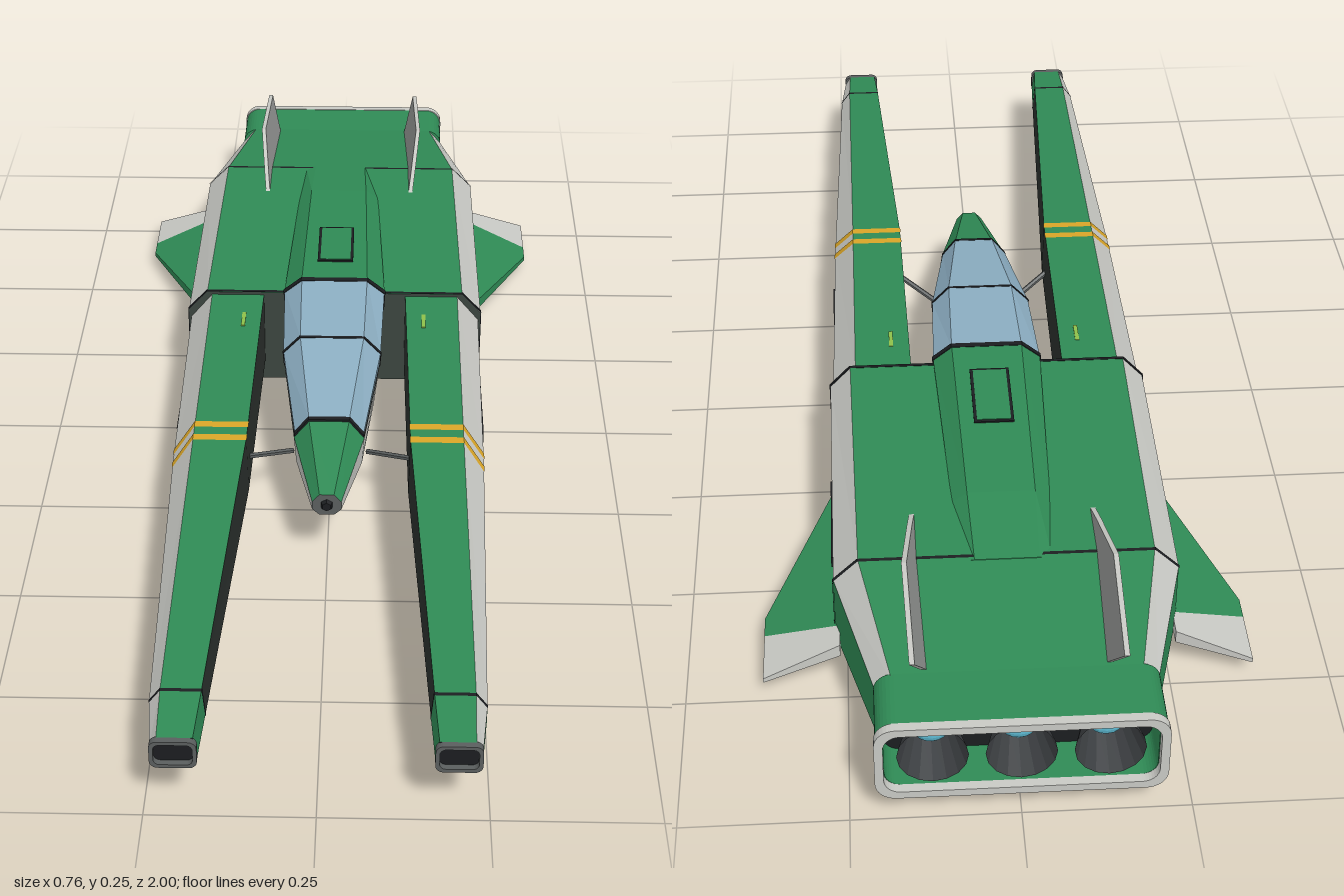
import * as THREE from 'three';

const GREEN = 0x2f8a55, WHITE = 0xc8c9c4, DARK = 0x1b1d20, INNER = 0x2b302d, GREY = 0x5a5e5e,
  GLASS = 0x8caec2, YELLOW = 0xd9a528, TEAL = 0x2f6475, CYAN = 0x62c3dc;

const mat = (color) => new THREE.MeshStandardMaterial({ color, flatShading: true });

// Skin between rings of [x,y,z] corners; colour(column, row) may return null to leave a gap.
// Rings run counter-clockwise seen from the first ring's outer side; s = -1 mirrors in x.
function loft(name, rings, colour, capA = null, capB = null, s = 1) {
  const group = new THREE.Group(), byColour = new Map();
  group.name = name;
  const tri = (c, a, b, d) => {
    if (!byColour.has(c)) byColour.set(c, []);
    for (const p of s > 0 ? [a, b, d] : [a, d, b]) byColour.get(c).push(p[0] * s, p[1], p[2]);
  };
  const n = rings[0].length;
  for (let j = 0; j < rings.length - 1; j++) for (let i = 0; i < n; i++) {
    const c = colour(i, j), k = (i + 1) % n, A = rings[j], B = rings[j + 1];
    if (c === null) continue;
    tri(c, A[i], B[i], B[k]);
    tri(c, A[i], B[k], A[k]);
  }
  const A = rings[0], B = rings[rings.length - 1];
  for (let i = 1; i < n - 1; i++) {
    if (capA !== null) tri(capA, A[0], A[i], A[i + 1]);
    if (capB !== null) tri(capB, B[0], B[i + 1], B[i]);
  }
  for (const [c, pos] of byColour) {
    const g = new THREE.BufferGeometry();
    g.setAttribute('position', new THREE.Float32BufferAttribute(pos, 3));
    g.computeVertexNormals();
    const m = new THREE.Mesh(g, mat(c));
    m.name = name + 'Surface';
    group.add(m);
  }
  return group;
}

const ring = (z, pts) => pts.map(([x, y]) => [x, y, z]);
// Symmetric ring from its +x half, listed bottom to top
const symRing = (z, half) => ring(z, [...half, ...half.map(([x, y]) => [-x, y]).reverse()]);

// Corner i of a ring list at any z (rings ordered from +z to -z)
function cornerAt(rings, i, z) {
  let j = 0;
  while (j < rings.length - 2 && z < rings[j + 1][i][2]) j++;
  const a = rings[j][i], b = rings[j + 1][i], t = (z - a[2]) / (b[2] - a[2]);
  return [a[0] + (b[0] - a[0]) * t, a[1] + (b[1] - a[1]) * t, z];
}
// Cross-section at z, swollen a little about its centre; shift moves single corners along z
function section(rings, z, swell = 1, shift = []) {
  const r = rings[0].map((_, i) => cornerAt(rings, i, z + (shift[i] || 0)));
  const cx = r.reduce((t, p) => t + p[0], 0) / r.length, cy = r.reduce((t, p) => t + p[1], 0) / r.length;
  return r.map(([x, y, zz]) => [cx + (x - cx) * swell, cy + (y - cy) * swell, zz]);
}
const band = (name, rings, z, w, color, swell) =>
  loft(name, [section(rings, z + w / 2, swell), section(rings, z - w / 2, swell)], () => color, color, color);

function box(name, w, h, d, color, x, y, z, rx = 0) {
  const m = new THREE.Mesh(new THREE.BoxGeometry(w, h, d), mat(color));
  m.name = name;
  m.position.set(x, y, z);
  m.rotation.x = rx;
  return m;
}

function roundRect(path, w, h, r) {
  path.absarc(w / 2 - r, h / 2 - r, r, 0, Math.PI / 2);
  path.absarc(-w / 2 + r, h / 2 - r, r, Math.PI / 2, Math.PI);
  path.absarc(-w / 2 + r, -h / 2 + r, r, Math.PI, Math.PI * 1.5);
  path.absarc(w / 2 - r, -h / 2 + r, r, Math.PI * 1.5, Math.PI * 2);
  path.closePath();
  return path;
}
// Hollow rounded frame running along z from z to z + d
function frame(name, w, h, r, rim, d, color, x, y, z) {
  const shape = roundRect(new THREE.Shape(), w, h, r);
  shape.holes.push(roundRect(new THREE.Path(), w - 2 * rim, h - 2 * rim, r - rim / 2));
  const m = new THREE.Mesh(new THREE.ExtrudeGeometry(shape, { depth: d, bevelEnabled: false, curveSegments: 4 }), mat(color));
  m.name = name;
  m.position.set(x, y, z);
  return m;
}

// Underside pad with a teal panel
function pad(x, y, z, w, d, rx) {
  const g = new THREE.Group();
  g.name = 'bellyPad';
  g.add(box('padBase', w, 0.014, d, DARK, 0, 0, 0));
  for (const k of [-1, 0, 1]) g.add(box('padPanel', w * 0.24, 0.004, d * 0.75, TEAL, k * w * 0.28, -0.0065, 0));
  g.position.set(x, y, z);
  g.rotation.x = rx;
  return g;
}

const BOOM = [
  ring(0.99, [[0.176, 0.09], [0.228, 0.09], [0.236, 0.098], [0.236, 0.122], [0.226, 0.138], [0.174, 0.138], [0.169, 0.1]]),
  ring(0.9, [[0.172, 0.084], [0.234, 0.084], [0.245, 0.097], [0.245, 0.125], [0.228, 0.148], [0.168, 0.148], [0.164, 0.1]]),
  ring(0.3, [[0.15, 0.048], [0.238, 0.048], [0.261, 0.068], [0.261, 0.137], [0.226, 0.181], [0.137, 0.181], [0.135, 0.075]]),
  ring(-0.17, [[0.145, 0.02], [0.235, 0.02], [0.266, 0.048], [0.266, 0.145], [0.226, 0.193], [0.13, 0.193], [0.13, 0.05]]),
];
const HULL = [
  symRing(-0.155, [[0.24, 0.012], [0.27, 0.045], [0.27, 0.16], [0.235, 0.198]]),
  symRing(-0.66, [[0.235, 0.014], [0.267, 0.045], [0.267, 0.16], [0.228, 0.199]]),
  symRing(-0.9, [[0.175, 0.042], [0.205, 0.062], [0.205, 0.148], [0.182, 0.174]]),
];
const POD = [
  symRing(0.41, [[0.012, 0.106], [0.024, 0.117], [0.024, 0.132], [0.012, 0.146]]),
  symRing(0.25, [[0.032, 0.085], [0.056, 0.1], [0.06, 0.152], [0.034, 0.185]]),
  symRing(0.04, [[0.045, 0.063], [0.075, 0.085], [0.085, 0.168], [0.05, 0.19]]),
  symRing(-0.17, [[0.045, 0.062], [0.078, 0.085], [0.09, 0.172], [0.055, 0.19]]),
];
const CANOPY = [
  symRing(0.25, [[0.058, 0.15], [0.058, 0.157], [0.034, 0.188]]),
  symRing(0.04, [[0.084, 0.165], [0.086, 0.19], [0.056, 0.222]]),
  symRing(-0.155, [[0.09, 0.17], [0.092, 0.204], [0.06, 0.23]]),
];
const SPINE = [
  CANOPY[2],
  symRing(-0.53, [[0.078, 0.18], [0.078, 0.198], [0.054, 0.216]]),
  symRing(-0.67, [[0.07, 0.18], [0.07, 0.196], [0.05, 0.199]]),
];

export function createModel() {
  const root = new THREE.Group();
  root.name = 'spacecraft';
  const add = (...parts) => root.add(...parts);

  // Main hull, with seams and a dark belly
  const hullColours = [GREY, GREEN, WHITE, GREEN, WHITE, GREEN, GREY, DARK];
  add(loft('hull', HULL, (i) => hullColours[i], 0x3c453f, GREEN));
  add(band('hullFrontSeam', HULL, -0.159, 0.006, DARK, 1.006));
  add(loft('hullRearSeam', [section(HULL, -0.658, 1.006), section(HULL, -0.664, 1.006)], (i) => (i > 0 && i < 6 ? DARK : null)));

  // Cockpit pod, canopy and spine
  const podColours = [WHITE, WHITE, GREEN, GREEN, GREEN, WHITE, WHITE, INNER];
  add(loft('cockpitPod', POD, (i, j) => (j && podColours[i] === GREEN ? INNER : podColours[i]), GREY, INNER));
  const noseTip = new THREE.Mesh(new THREE.CylinderGeometry(0.008, 0.012, 0.01, 6), mat(DARK));
  noseTip.name = 'noseSensor';
  noseTip.rotation.x = Math.PI / 2;
  noseTip.position.set(0, 0.126, 0.412);
  add(noseTip);
  add(loft('canopy', CANOPY, () => GLASS, DARK, DARK));
  for (const [z, w] of [[0.248, 0.008], [0.04, 0.006], [-0.15, 0.012]]) add(band('canopyFrame', CANOPY, z, w, DARK, 1.02));
  add(loft('spine', SPINE, () => GREEN, DARK, GREEN));
  add(box('hatchBorder', 0.066, 0.006, 0.14, DARK, 0, 0.2245, -0.29, -0.038));
  add(box('hatch', 0.056, 0.006, 0.13, GREEN, 0, 0.2255, -0.29, -0.038));

  for (const s of [1, -1]) {
    // Forward boom: dark bottom and inner side, pale upper edge
    const boomColours = [DARK, DARK, GREEN, WHITE, GREEN, INNER, DARK];
    add(loft('boom', BOOM, (i, j) => (j || i === 3 ? boomColours[i] : GREEN), DARK, DARK, s));
    add(loft('boomSeam', [section(BOOM, 0.903, 1.02), section(BOOM, 0.897, 1.02)], () => DARK, null, null, s));
    add(frame('noseIntake', 0.068, 0.048, 0.012, 0.006, 0.012, GREY, s * 0.2025, 0.114, 0.988));

    // Slanted twin stripes over top, edge and side
    const shift = [0, 0, 0.055, 0.02, 0, 0, 0];
    for (const z of [0.307, 0.27]) {
      add(loft('stripe', [section(BOOM, z, 1.016, shift), section(BOOM, z - 0.016, 1.016, shift)],
        (i) => (i >= 2 && i <= 4 ? YELLOW : null), null, null, s));
    }

    // Side vents and deck lamp
    add(box('boomVent', 0.006, 0.036, 0.15, DARK, s * 0.262, 0.108, 0.115));
    add(box('hullVent', 0.006, 0.02, 0.19, DARK, s * 0.2685, 0.115, -0.472));
    add(box('deckLamp', 0.007, 0.004, 0.045, 0x8fc04a, s * 0.163, 0.19, -0.07));

    // Pads under boom and hull
    for (const z of [0.775, 0.425]) add(pad(s * 0.2, cornerAt(BOOM, 0, z)[1] - 0.003, z, 0.045, 0.11, -0.061));
    for (const z of [-0.28, -0.6]) add(pad(s * 0.16, z < -0.5 ? 0.011 : 0.007, z, 0.062, 0.12, 0));

    // Strut from pod to boom
    const a = new THREE.Vector3(s * 0.065, 0.082, 0.19), b = new THREE.Vector3(s * 0.14, 0.11, 0.25);
    const strut = new THREE.Mesh(new THREE.TubeGeometry(new THREE.LineCurve3(a, b), 1, 0.005, 6), mat(GREY));
    strut.name = 'strut';
    add(strut);

    // Drooping wing: green front, pale rear
    const wing = (name, color, outline) => {
      const level = (k) => outline.map(([x, z]) => {
        const t = (x - 0.26) / 0.12;
        return [x, 0.064 - 0.038 * t + k * (0.011 - 0.007 * t), z];
      });
      add(loft(name, [level(1), level(-1)], () => color, color, color, s));
    };
    wing('wing', GREEN, [[0.26, -0.32], [0.38, -0.6], [0.38, -0.64], [0.26, -0.67]]);
    wing('wingTrailingEdge', WHITE, [[0.26, -0.67], [0.38, -0.64], [0.38, -0.735], [0.26, -0.715]]);

    // Leaning tail fin
    const finSide = (k) => [[-0.53, 0.19], [-0.87, 0.165], [-0.93, 0.235], [-0.73, 0.252], [-0.6, 0.213]]
      .map(([z, y]) => [0.14 + (y - 0.19) * 0.3 + k * 0.004, y, z]);
    add(loft('tailFin', [finSide(1), finSide(-1)], () => WHITE, WHITE, 0x909290, s));
  }
  add(pad(0, 0.007, -0.44, 0.13, 0.11, 0));

  // Engine housing, open to the rear, with three nozzles
  add(frame('engineHousing', 0.42, 0.135, 0.03, 0.012, 0.1, GREEN, 0, 0.108, -0.985));
  add(frame('engineRim', 0.424, 0.137, 0.031, 0.013, 0.015, WHITE, 0, 0.108, -1));
  add(box('engineBulkhead', 0.4, 0.118, 0.02, DARK, 0, 0.108, -0.905));
  for (const x of [-0.128, 0, 0.128]) {
    const bell = new THREE.Mesh(new THREE.CylinderGeometry(0.032, 0.052, 0.07, 16, 1, true), mat(0x3a3d40));
    bell.material.side = THREE.DoubleSide;
    bell.name = 'engineNozzle';
    bell.rotation.x = Math.PI / 2;
    bell.position.set(x, 0.108, -0.95);
    const glow = new THREE.Mesh(new THREE.SphereGeometry(0.028, 12, 8), mat(CYAN));
    glow.name = 'engineGlow';
    glow.scale.z = 0.6;
    glow.position.set(x, 0.108, -0.925);
    add(bell, glow);
  }
  return root;
}
